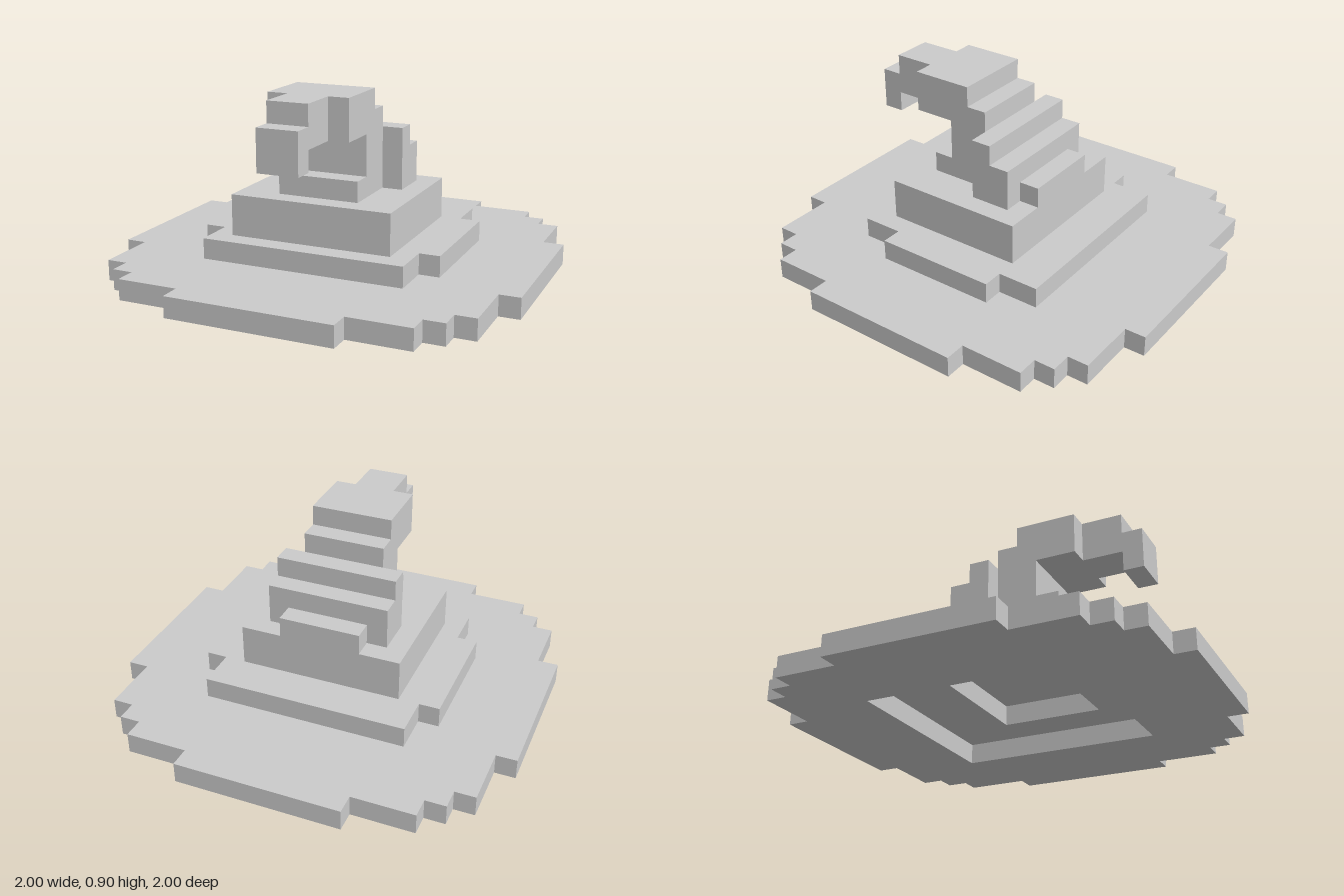
import * as THREE from 'three';

const material = new THREE.MeshStandardMaterial({ color: 0xcccccc, flatShading: true });
const toPoints = (list) => list.map(([a, b]) => new THREE.Vector2(a, b));

function addMesh(group, name, geometry) {
  const mesh = new THREE.Mesh(geometry, material);
  mesh.name = name;
  group.add(mesh);
}

// Stepped round outline: mirrors one quadrant of [x, z] corners into all four
function steppedOutline(quadrant) {
  const back = [...quadrant].reverse();
  return [
    ...quadrant,
    ...back.map(([x, z]) => [-x, z]),
    ...quadrant.map(([x, z]) => [-x, -z]),
    ...back.map(([x, z]) => [x, -z]),
  ];
}

// Horizontal layer 0.1 thick with a rectangular hole of [x0, x1, z0, z1];
// the hole winds opposite to the outline so its walls face inwards
function layer(outline, [x0, x1, z0, z1], y) {
  const flip = ([x, z]) => [x, -z];
  const shape = new THREE.Shape(toPoints(outline.map(flip)));
  const hole = [[x0, z0], [x0, z1], [x1, z1], [x1, z0]];
  shape.holes.push(new THREE.Path(toPoints(hole.map(flip))));
  return new THREE.ExtrudeGeometry(shape, { depth: 0.1, bevelEnabled: false })
    .rotateX(-Math.PI / 2)
    .translate(0, y, 0);
}

// Side profile of [z, y] corners, widened evenly about x = 0
function sideProfile(profile, width) {
  return new THREE.ExtrudeGeometry(new THREE.Shape(toPoints(profile)), { depth: width, bevelEnabled: false })
    .translate(0, 0, -width / 2)
    .rotateY(-Math.PI / 2);
}

export function createModel() {
  const hat = new THREE.Group();
  hat.name = 'blockyPointedHat';

  // Wide brim, open underneath
  const brim = steppedOutline([
    [1, 0.4], [0.9, 0.4], [0.9, 0.7], [0.8, 0.7], [0.8, 0.8],
    [0.7, 0.8], [0.7, 0.9], [0.4, 0.9], [0.4, 1],
  ]);
  addMesh(hat, 'brim', layer(brim, [-0.5, 0.5, -0.5, 0.5], 0));

  // Raised ring where the crown meets the brim, with a smaller opening
  const ring = steppedOutline([[0.6, 0.3], [0.5, 0.3], [0.5, 0.5]]);
  addMesh(hat, 'crownRing', layer(ring, [-0.3, 0.3, -0.2, 0.3], 0.1));

  // Broad lower crown
  addMesh(hat, 'crownBase', sideProfile([[-0.3, 0.2], [0.4, 0.2], [0.4, 0.4], [-0.3, 0.4]], 0.8));

  // Steps up the back of the crown
  addMesh(hat, 'lowerBackStep', sideProfile([[-0.3, 0.4], [-0.2, 0.4], [-0.2, 0.5], [-0.3, 0.5]], 0.4));
  addMesh(hat, 'upperBackSteps', sideProfile(
    [[-0.2, 0.4], [0, 0.4], [0, 0.7], [-0.1, 0.7], [-0.1, 0.6], [-0.2, 0.6]], 0.6));

  // Crown bending forward at the top
  addMesh(hat, 'bentCrown', sideProfile([
    [0, 0.4], [0.3, 0.4], [0.3, 0.5], [0.2, 0.5], [0.2, 0.7],
    [0.4, 0.7], [0.4, 0.9], [0.1, 0.9], [0.1, 0.8], [0, 0.8],
  ], 0.4));

  // Narrow drooping tip
  addMesh(hat, 'droopingTip', sideProfile([
    [0.4, 0.7], [0.6, 0.7], [0.6, 0.6], [0.7, 0.6],
    [0.7, 0.8], [0.6, 0.8], [0.6, 0.9], [0.4, 0.9],
  ], 0.2));

  return hat;
}
